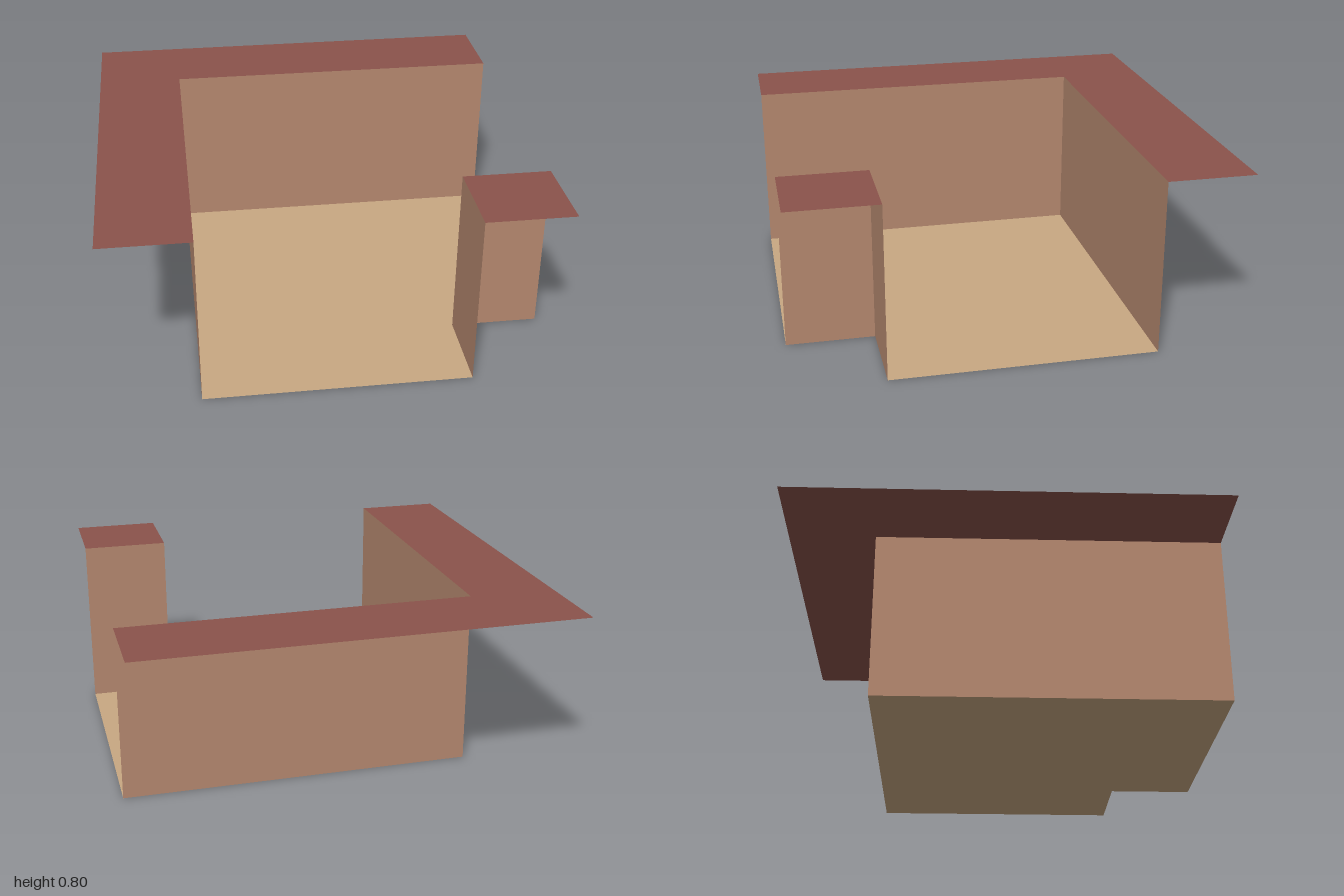
import * as THREE from 'three';

const HEIGHT = 0.8;

function material(name, color) {
  const m = new THREE.MeshStandardMaterial({ color, side: THREE.DoubleSide });
  m.name = name;
  return m;
}

// Horizontal sheet facing up, outlined by [x, z] corners
function sheet(name, mat, y, corners) {
  const shape = new THREE.Shape(corners.map(([x, z]) => new THREE.Vector2(x, -z)));
  const mesh = new THREE.Mesh(new THREE.ShapeGeometry(shape).rotateX(-Math.PI / 2), mat);
  mesh.position.y = y;
  mesh.name = name;
  return mesh;
}

// Upright sheet, 'along' x (facing +z) or z (facing +x)
function wall(name, mat, along, from, to, offset) {
  const geometry = new THREE.PlaneGeometry(to - from, HEIGHT);
  const mesh = new THREE.Mesh(geometry, mat);
  const middle = (from + to) / 2;
  if (along === 'x') {
    mesh.position.set(middle, HEIGHT / 2, offset);
  } else {
    geometry.rotateY(Math.PI / 2);
    mesh.position.set(offset, HEIGHT / 2, middle);
  }
  mesh.name = name;
  return mesh;
}

export function createModel() {
  const sand = material('sand floor', 0xc8a882);
  const clay = material('clay wall', 0xb5886f);
  const brick = material('brick top', 0x8b534b);

  const model = new THREE.Group();
  model.name = 'cornerTile';

  model.add(
    // Floor with a notch at the pillar corner
    sheet('floor', sand, 0, [[-0.6, -0.6], [1, -0.6], [1, 0.6], [0.6, 0.6], [0.6, 1], [-0.6, 1]]),

    // Long walls and their L-shaped top
    wall('backWall', clay, 'x', -0.6, 1, -0.6),
    wall('rightWall', clay, 'z', -0.6, 1, -0.6),
    sheet('wallTop', brick, HEIGHT, [[-1, -1], [1, -1], [1, -0.6], [-0.6, -0.6], [-0.6, 1], [-1, 1]]),

    // Corner pillar, open on its two outer sides
    wall('pillarBack', clay, 'x', 0.6, 1, 0.6),
    wall('pillarSide', clay, 'z', 0.6, 1, 0.6),
    sheet('pillarTop', brick, HEIGHT, [[0.6, 0.6], [1, 0.6], [1, 1], [0.6, 1]]),
  );
  return model;
}
